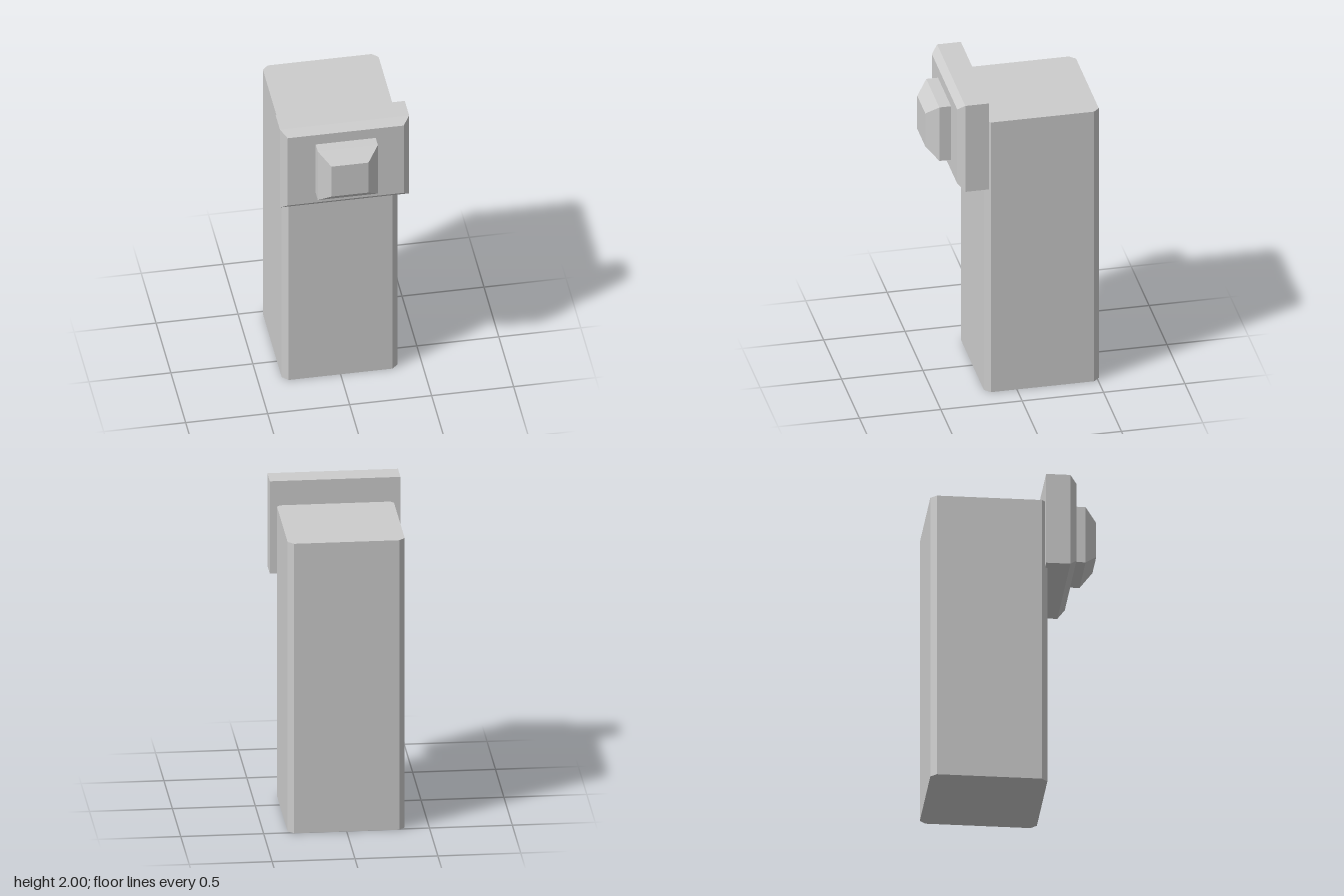
import * as THREE from 'three';

const grey = new THREE.MeshStandardMaterial({ color: 0xcccccc });
grey.name = 'plain grey';

// Box whose front edges are bevelled at 45 degrees or so
function bevelledBlock(name, width, height, zBack, zRim, zFront, inset, y) {
  const box = new THREE.BoxGeometry(width, height, 2, 1, 1, 2);
  const p = box.attributes.position;
  for (let i = 0; i < p.count; i++) {
    const layer = Math.round(p.getZ(i)) + 1; // 0 back, 1 rim, 2 front
    p.setZ(i, [zBack, zRim, zFront][layer]);
    if (layer === 2) {
      p.setX(i, Math.sign(p.getX(i)) * (width / 2 - inset));
      p.setY(i, Math.sign(p.getY(i)) * (height / 2 - inset));
    }
  }
  const geometry = box.toNonIndexed();
  geometry.computeVertexNormals();
  const mesh = new THREE.Mesh(geometry, grey);
  mesh.name = name;
  mesh.position.y = y;
  return mesh;
}

// Upright post: a square with cut corners, extruded upwards
function makePost() {
  const h = 0.353, k = h - 0.036;
  const outline = [[h, -k], [h, k], [k, h], [-k, h], [-h, k], [-h, -k], [-k, -h], [k, -h]];
  const shape = new THREE.Shape(outline.map(([x, y]) => new THREE.Vector2(x, y)));
  const geometry = new THREE.ExtrudeGeometry(shape, { depth: 1.845, bevelEnabled: false });
  geometry.rotateX(-Math.PI / 2);
  const mesh = new THREE.Mesh(geometry, grey);
  mesh.name = 'post';
  mesh.position.z = -0.158;
  return mesh;
}

export function createModel() {
  const model = new THREE.Group();
  model.name = 'post with front plate';
  model.add(
    makePost(),
    bevelledBlock('frontPlate', 0.788, 0.588, 0.18, 0.326, 0.367, 0.04, 1.706),
    bevelledBlock('plateStud', 0.366, 0.366, 0.36, 0.439, 0.51, 0.07, 1.707)
  );
  return model;
}
